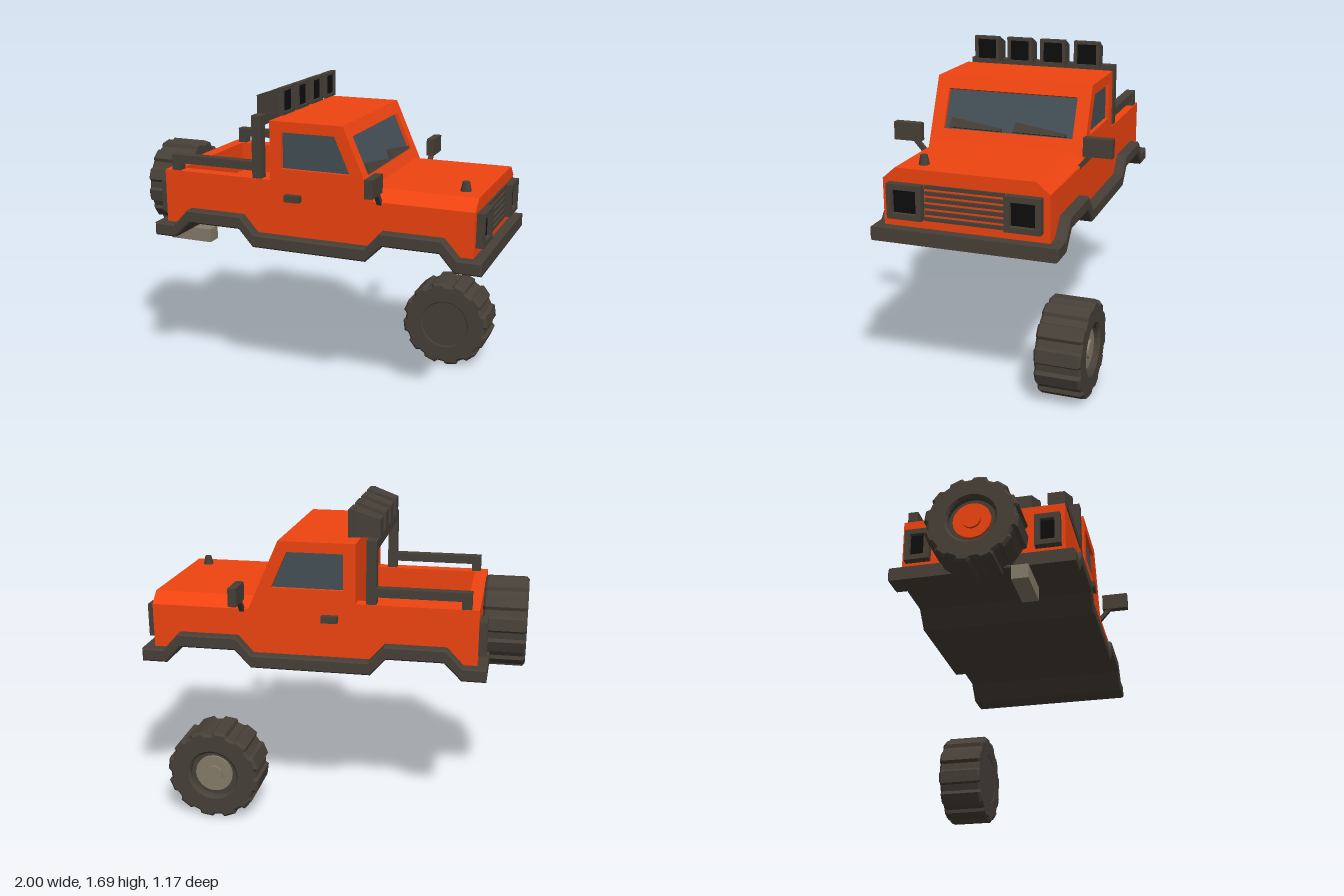
import * as THREE from 'three';

const paint = (color) => new THREE.MeshStandardMaterial({ color, flatShading: true });
const orange = paint(0xf04410), dark = paint(0x474038), black = paint(0x0d0d0d);
const glass = paint(0x434f55), metal = paint(0x857b69);

const toShape = (pts) => new THREE.Shape(pts.map(([x, y]) => new THREE.Vector2(x, y)));
const rect = (w, h, cy = 0) => [[-w / 2, cy - h / 2], [w / 2, cy - h / 2], [w / 2, cy + h / 2], [-w / 2, cy + h / 2]];

function add(parent, name, geo, mat, x = 0, y = 0, z = 0) {
  const m = new THREE.Mesh(geo, mat);
  m.name = name;
  m.position.set(x, y, z);
  parent.add(m);
  return m;
}

// Box given by its limits
function box(parent, name, mat, [x0, x1], [y0, y1], [z0, z1]) {
  return add(parent, name, new THREE.BoxGeometry(x1 - x0, y1 - y0, z1 - z0), mat,
    (x0 + x1) / 2, (y0 + y1) / 2, (z0 + z1) / 2);
}

// Outline extruded along z and centred, with optional hole and bevel
function slab(pts, depth, hole = null, bevel = 0) {
  const s = toShape(pts);
  if (hole) s.holes.push(toShape(hole));
  const geo = new THREE.ExtrudeGeometry(s, {
    depth: depth - 2 * bevel, bevelEnabled: bevel > 0, bevelSize: bevel,
    bevelThickness: bevel, bevelOffset: -bevel, bevelSegments: 1, curveSegments: 24,
  });
  return geo.translate(0, 0, bevel - depth / 2);
}

// Square lamp facing +x: frame with a sunken black lens
function lamp(parent, name, w, h, depth, rim) {
  const g = new THREE.Group();
  g.name = name;
  add(g, 'lampFrame', slab(rect(w, h), depth, rect(w - 2 * rim, h - 2 * rim)).rotateY(Math.PI / 2), dark);
  add(g, 'lampLens', new THREE.BoxGeometry(depth * 0.5, h - rim, w - rim), black, -depth * 0.2);
  parent.add(g);
  return g;
}

// Wheel with axis z, hub side facing +z
function wheel(parent, name, r, width, hubMat) {
  const g = new THREE.Group();
  g.name = name;
  const lugs = 12, outline = [];
  for (let i = 0; i < lugs; i++) {
    for (const [t, k] of [[0, 0.93], [0.3, 0.93], [0.4, 1], [0.9, 0.99]]) {
      const a = ((i + t) / lugs) * Math.PI * 2;
      outline.push([Math.cos(a) * r * k, Math.sin(a) * r * k]);
    }
  }
  const ring = Array.from({ length: 24 }, (_, i) => {
    const a = (i / 24) * Math.PI * 2;
    return [Math.cos(a) * r * 0.5, Math.sin(a) * r * 0.5];
  });
  add(g, 'tire', slab(outline, width, ring, 0.013), dark);
  const disc = (n, rad, d, mat, z) =>
    add(g, n, new THREE.CylinderGeometry(rad, rad, d, 24).rotateX(Math.PI / 2), mat, 0, 0, z);
  disc('innerDisc', r * 0.53, width - 0.04, dark, -0.018);
  disc('hub', r * 0.4, 0.02, hubMat, width / 2 - 0.035);
  disc('hubCap', r * 0.19, 0.02, hubMat, width / 2 - 0.022);
  parent.add(g);
  return g;
}

export function createModel() {
  const car = new THREE.Group();
  car.name = 'pickupTruck';

  // Dark underbody with wheel arches and bumpers
  const trim = [[-0.815, 0.86], [-0.69, 0.86], [-0.6, 0.95], [-0.305, 0.95], [-0.225, 0.86], [0.405, 0.86],
    [0.49, 0.95], [0.785, 0.95], [0.865, 0.86], [1, 0.86], [1, 0.93], [0.88, 0.93], [0.797, 1.02], [0.48, 1.02],
    [0.4, 0.93], [-0.214, 0.93], [-0.294, 1.02], [-0.61, 1.02], [-0.695, 0.93], [-0.815, 0.93]];
  add(car, 'underbodyTrim', slab(trim, 0.95, null, 0.008), dark);

  // Lower body up to the bed floor
  const lower = [[-0.765, 0.9], [-0.68, 0.9], [-0.6, 0.98], [-0.3, 0.98], [-0.22, 0.9], [0.4, 0.9], [0.48, 0.98],
    [0.79, 0.98], [0.87, 0.9], [0.945, 0.9], [0.945, 1.05], [-0.765, 1.05]];
  add(car, 'lowerBody', slab(lower, 0.84), orange);

  // Hood with sloped shoulders
  const hood = [[-0.42, 1.05], [0.42, 1.05], [0.42, 1.163], [0.355, 1.22], [-0.355, 1.22], [-0.42, 1.163]];
  add(car, 'hood', slab(hood, 0.585).rotateY(Math.PI / 2), orange, 0.6525);
  add(car, 'hoodCap', new THREE.CylinderGeometry(0.018, 0.028, 0.05, 10), dark, 0.85, 1.243, 0.245);

  // Bed walls
  for (const s of [-1, 1]) {
    box(car, 'bedSide', orange, [-0.765, -0.13], [1.05, 1.22], s > 0 ? [0.35, 0.42] : [-0.42, -0.35]);
  }
  box(car, 'tailgate', orange, [-0.765, -0.695], [1.05, 1.22], [-0.35, 0.35]);

  // Cab: glass core inside panels with window openings
  add(car, 'cabGlass', slab([[-0.12, 1.06], [0.4, 1.06], [0.408, 1.15], [0.247, 1.51], [-0.12, 1.51]], 0.8), glass);
  const side = [[-0.14, 1.05], [0.43, 1.05], [0.43, 1.15], [0.26, 1.53], [-0.14, 1.53]];
  const window = [[-0.075, 1.285], [0.3, 1.285], [0.215, 1.475], [-0.075, 1.475]];
  for (const s of [-1, 1]) {
    add(car, 'cabSide', slab(side, 0.03, window), orange, 0, 0, s * 0.405);
    box(car, 'doorHandle', dark, [-0.05, 0.035], [1.12, 1.155], s > 0 ? [0.41, 0.455] : [-0.455, -0.41]);
  }
  box(car, 'roof', orange, [-0.14, 0.26], [1.5, 1.53], [-0.4, 0.4]);
  box(car, 'cabBack', orange, [-0.14, -0.11], [1.05, 1.52], [-0.4, 0.4]);

  // Leaning windshield frame with two wipers
  const shield = new THREE.Group();
  shield.name = 'windshield';
  shield.position.set(0.43, 1.15, 0);
  shield.rotation.set(-Math.atan2(0.17, 0.38), Math.PI / 2, 0, 'YXZ');
  add(shield, 'windshieldFrame', slab(rect(0.84, 0.416, 0.208), 0.03, rect(0.7, 0.213, 0.2435)), orange, 0, 0, -0.015);
  for (const x of [-0.175, 0.175]) {
    const blade = [[x - 0.145, 0.145], [x + 0.14, 0.143], [x + 0.14, 0.158], [x - 0.135, 0.198]];
    if (x > 0) blade.forEach((p) => { p[0] = 2 * x - p[0]; });
    // Both blades rise towards the same side
    const pts = x > 0 ? blade.map(([px, py]) => [2 * x - px, py]) : blade;
    add(shield, 'wiper', slab(pts, 0.025), dark, 0, 0, -0.008);
  }
  car.add(shield);

  // Grille bars, headlights and tail lights
  for (let i = 0; i < 6; i++) {
    const y = 0.982 + i * 0.032;
    box(car, 'grilleBar', dark, [0.93, 0.956], [y - 0.009, y + 0.009], [-0.2, 0.2]);
  }
  for (const s of [-1, 1]) {
    lamp(car, 'headlight', 0.18, 0.175, 0.05, 0.028).position.set(0.96, 1.063, s * 0.297);
    const tail = lamp(car, 'tailLight', 0.13, 0.175, 0.05, 0.028);
    tail.position.set(-0.78, 1.063, s * 0.335);
    tail.rotation.y = Math.PI;
  }

  // Side mirrors on slanted stalks
  for (const s of [-1, 1]) {
    box(car, 'mirror', dark, [0.438, 0.48], [1.22, 1.315], s > 0 ? [0.435, 0.585] : [-0.585, -0.435]);
    const stalk = add(car, 'mirrorStalk', new THREE.BoxGeometry(0.025, 0.11, 0.022), dark, 0.458, 1.195, s * 0.446);
    stalk.rotation.x = s * 0.72;
  }

  // Roll bar and bed rails
  for (const s of [-1, 1]) {
    const z = s > 0 ? [0.362, 0.415] : [-0.415, -0.362];
    box(car, 'rollBarPost', dark, [-0.245, -0.193], [1.21, 1.545], z);
    box(car, 'bedRail', dark, [-0.725, -0.24], [1.26, 1.305], z);
    box(car, 'bedRailFoot', dark, [-0.725, -0.675], [1.21, 1.265], z);
  }
  box(car, 'rollBarTop', dark, [-0.245, -0.193], [1.495, 1.548], [-0.415, 0.415]);

  // Four roof lights with housings that taper to the back
  for (const z of [-0.285, -0.095, 0.095, 0.285]) {
    lamp(car, 'roofLight', 0.14, 0.14, 0.03, 0.016).position.set(-0.105, 1.618, z);
    const geo = new THREE.BoxGeometry(0.14, 0.14, 0.14);
    const p = geo.attributes.position;
    for (let i = 0; i < p.count; i++) {
      if (p.getX(i) > 0) continue;
      p.setZ(i, p.getZ(i) * 0.7);
      if (p.getY(i) > 0) p.setY(i, 0.022);
    }
    geo.computeVertexNormals();
    add(car, 'roofLightHousing', geo, dark, -0.18, 1.618, z);
  }

  // Exhaust, spare wheel on the tailgate, and the separate wheel
  box(car, 'exhaust', metal, [-0.85, -0.6], [0.775, 0.85], [0.165, 0.25]);
  const spare = wheel(car, 'spareWheel', 0.24, 0.23, orange);
  spare.position.set(-0.885, 1.05, 0);
  spare.rotation.y = -Math.PI / 2;
  const loose = wheel(car, 'wheel', 0.255, 0.24, metal);
  loose.position.set(0.615, 0.255, -0.427);
  loose.rotation.y = Math.PI;

  return car;
}
